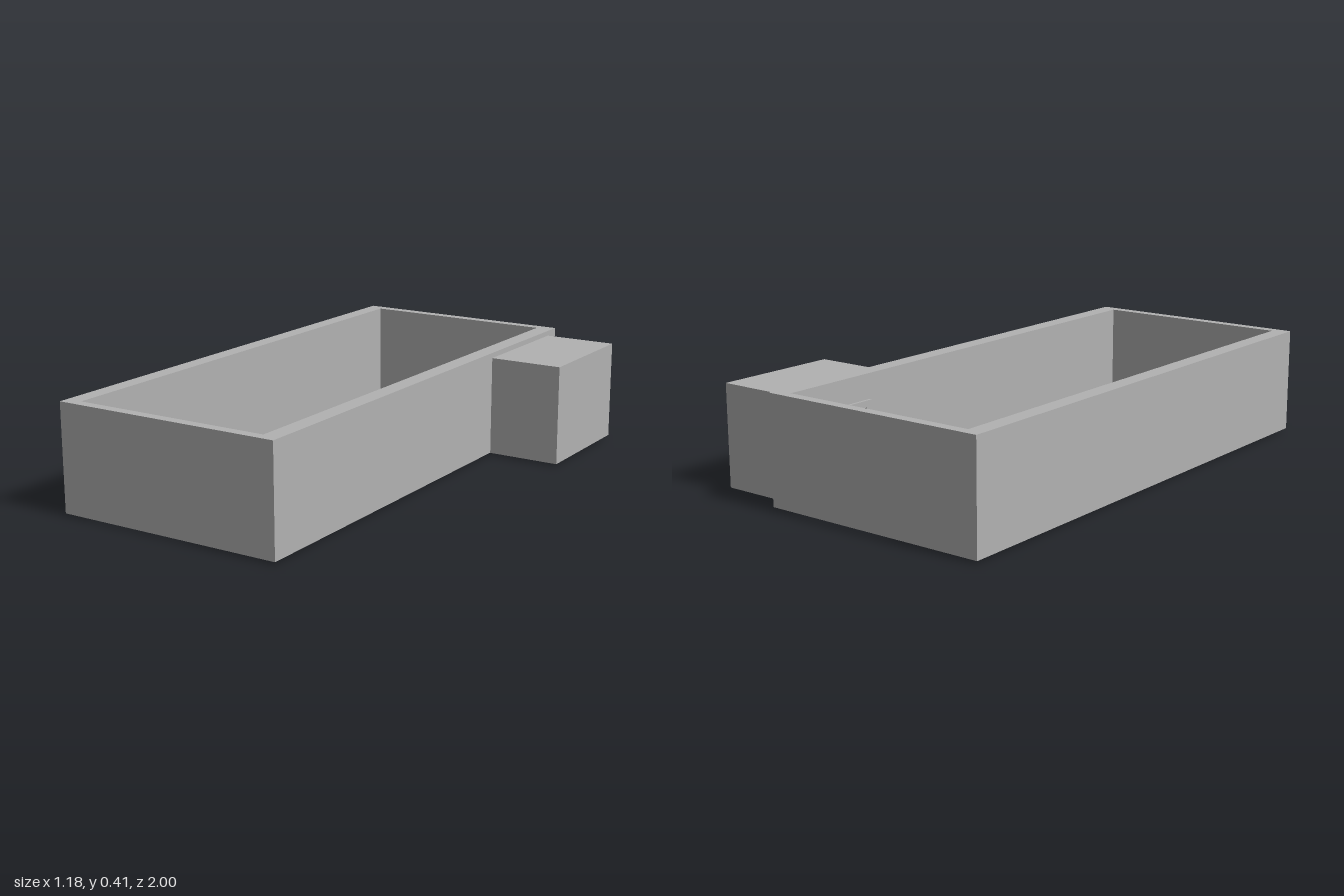
import * as THREE from 'three';

const grey = new THREE.MeshStandardMaterial({ color: 0xb2b2b2, side: THREE.DoubleSide });
grey.name = 'plain grey';

const BOTTOM = 0.008, TOP = 0.41, END = 0.962;
const DOOR = { z0: -0.795, z1: -0.58, top: 0.316 };

function box(name, x0, x1, y0, y1, z0, z1) {
  const mesh = new THREE.Mesh(new THREE.BoxGeometry(x1 - x0, y1 - y0, z1 - z0), grey);
  mesh.position.set((x0 + x1) / 2, (y0 + y1) / 2, (z0 + z1) / 2);
  mesh.name = name;
  return mesh;
}

// Upright sheet in the z-y plane at a given x, optionally notched by the doorway
function sheet(name, x, facing, withDoor) {
  const pts = [[-END, BOTTOM]];
  if (withDoor) {
    pts.push([DOOR.z0, BOTTOM], [DOOR.z0, DOOR.top], [DOOR.z1, DOOR.top], [DOOR.z1, BOTTOM]);
  }
  pts.push([END, BOTTOM], [END, TOP], [-END, TOP]);
  // Rotating about y maps the drawing axis onto +z or -z
  const shape = new THREE.Shape(pts.map(([z, y]) => new THREE.Vector2(-facing * z, y)));
  const mesh = new THREE.Mesh(new THREE.ShapeGeometry(shape), grey);
  mesh.rotation.y = facing * Math.PI / 2;
  mesh.position.x = x;
  mesh.name = name;
  return mesh;
}

// Long wall: two skins and a cap, open underneath
function longWall(name, x0, x1, withDoor) {
  const wall = new THREE.Group();
  wall.name = name;
  const cap = new THREE.Mesh(new THREE.PlaneGeometry(x1 - x0, 2 * END), grey);
  cap.rotation.x = -Math.PI / 2;
  cap.position.set((x0 + x1) / 2, TOP, 0);
  cap.name = name + 'Cap';
  wall.add(
    sheet(name + 'RightSkin', x0, -1, withDoor),
    sheet(name + 'LeftSkin', x1, 1, withDoor),
    cap
  );
  return wall;
}

// Door frame: two jambs and a head, passing through the wall
function doorFrame() {
  const frame = new THREE.Group();
  frame.name = 'doorFrame';
  const x0 = 0.228, x1 = 0.34, w = 0.025;
  frame.add(
    box('backJamb', x0, x1, 0, DOOR.top, DOOR.z0, DOOR.z0 + w),
    box('frontJamb', x0, x1, 0, DOOR.top, DOOR.z1 - w, DOOR.z1),
    box('doorHead', x0, x1, DOOR.top - w, DOOR.top, DOOR.z0 + w, DOOR.z1 - w)
  );
  return frame;
}

export function createModel() {
  const model = new THREE.Group();
  model.name = 'walledRoom';
  model.add(
    box('frontWall', -0.59, 0.303, BOTTOM, TOP, END, 1),
    box('backWall', -0.59, 0.303, BOTTOM, TOP, -1, -END),
    longWall('rightWall', -0.59, -0.528, false),
    longWall('leftWall', 0.238, 0.303, true),
    box('sideBlock', 0.304, 0.59, BOTTOM, 0.39, -0.933, -0.445),
    doorFrame()
  );
  return model;
}
